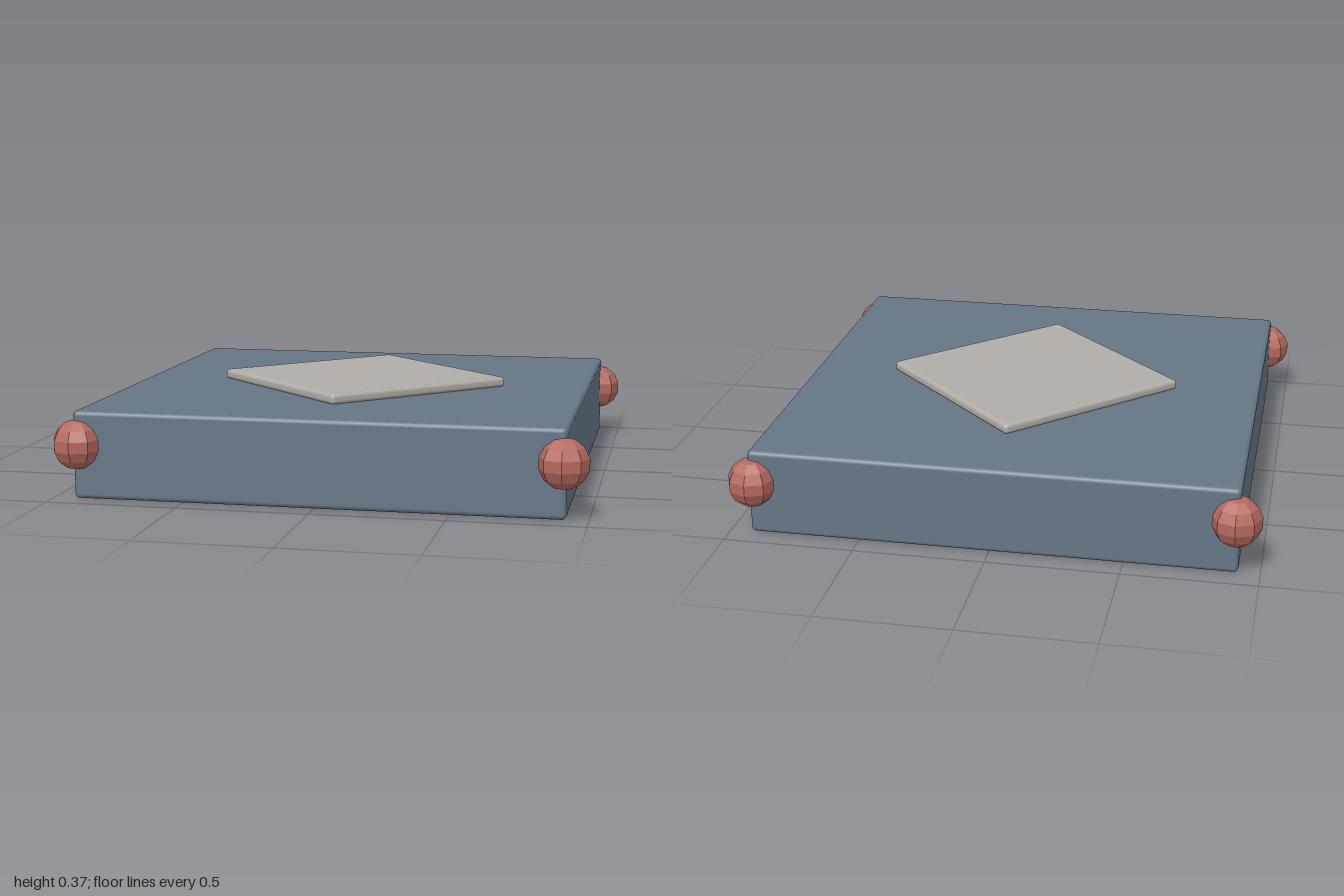
import * as THREE from 'three';
import { RoundedBoxGeometry } from 'three/addons/geometries/RoundedBoxGeometry.js';

export function createModel() {
  const group = new THREE.Group();
  const add = (name, geometry, color, x, y, z, flatShading = false) => {
    const mesh = new THREE.Mesh(geometry, new THREE.MeshStandardMaterial({ color, flatShading }));
    mesh.name = name;
    mesh.position.set(x, y, z);
    group.add(mesh);
    return mesh;
  };

  // Square slab with softened edges
  add('slab', new RoundedBoxGeometry(1.84, 0.333, 1.84, 3, 0.018), 0x667686, 0, 0.1665, 0);

  // Thin plate turned 45 degrees on top of the slab
  const plate = add('diamondPlate', new RoundedBoxGeometry(0.836, 0.04, 0.836, 3, 0.015), 0xb0aca6, 0, 0.351, 0);
  plate.rotation.y = Math.PI / 4;

  // Faceted ball set into each upright corner
  const ball = new THREE.SphereGeometry(0.095, 8, 7);
  for (const x of [1, -1]) {
    for (const z of [1, -1]) {
      const name = (z > 0 ? 'front' : 'back') + (x > 0 ? 'Left' : 'Right') + 'CornerBall';
      add(name, ball, 0xb5695f, x * 0.907, 0.205, z * 0.907, true);
    }
  }
  return group;
}
